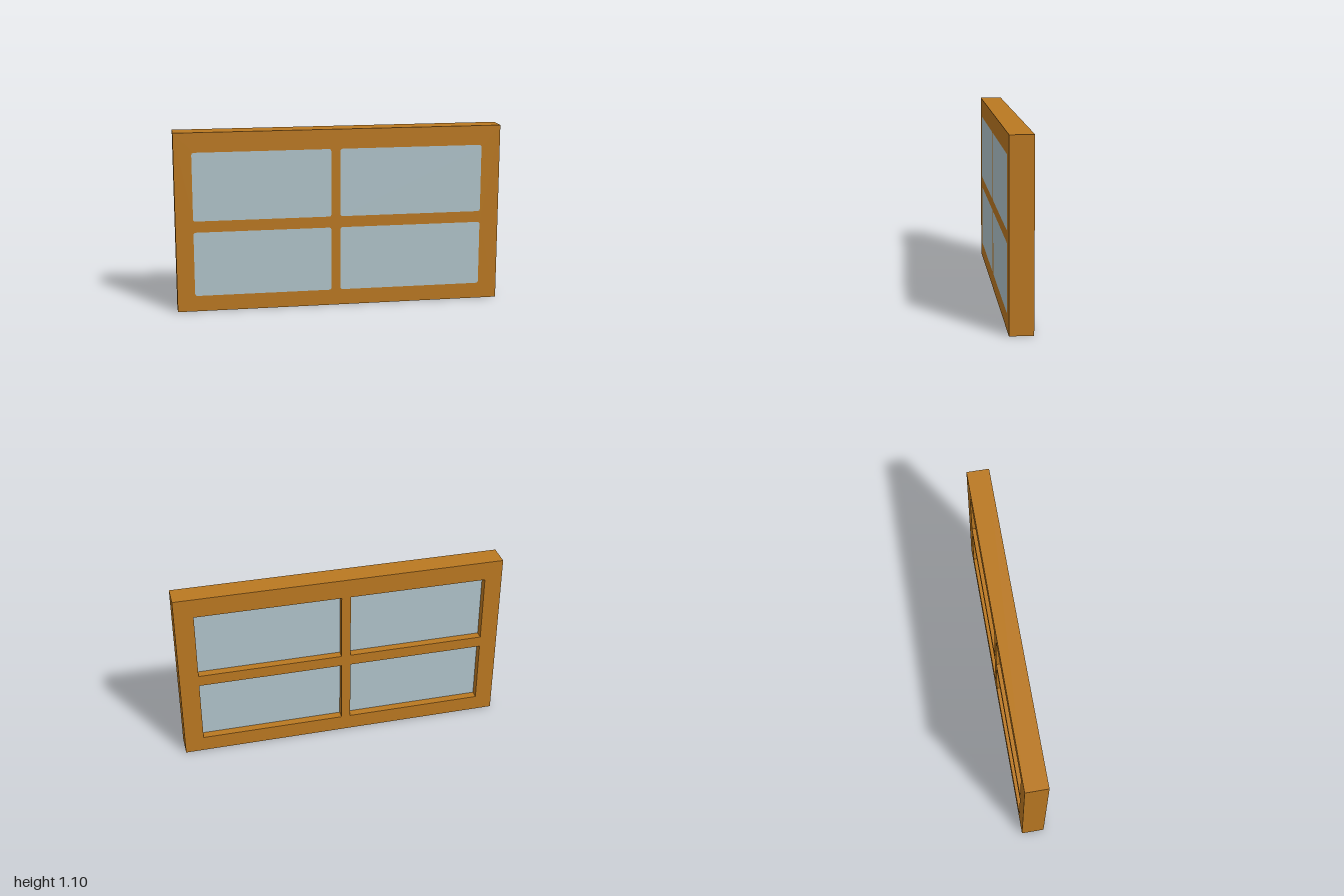
import * as THREE from 'three';

const HEIGHT = 1.1, BACK = -0.069, FRONT = 0.069;
const TRIM = 0.008;      // thickness of the front facing
const GLASS_BACK = -0.02; // rear glass sits in a recess

// pane openings: columns (x) and rows (y)
const COLUMNS = [[-0.893, -0.053], [0.003, 0.884]];
const ROWS = [[0.097, 0.493], [0.562, 0.98]];

// rectangle with optional rounded corners
function rect(target, x0, y0, x1, y1, r = 0) {
  if (r === 0) {
    target.moveTo(x0, y0).lineTo(x1, y0).lineTo(x1, y1).lineTo(x0, y1).closePath();
    return target;
  }
  target.moveTo(x0 + r, y0);
  target.lineTo(x1 - r, y0).quadraticCurveTo(x1, y0, x1, y0 + r);
  target.lineTo(x1, y1 - r).quadraticCurveTo(x1, y1, x1 - r, y1);
  target.lineTo(x0 + r, y1).quadraticCurveTo(x0, y1, x0, y1 - r);
  target.lineTo(x0, y0 + r).quadraticCurveTo(x0, y0, x0 + r, y0);
  return target;
}

function slab(name, shape, z0, z1, material) {
  const geometry = new THREE.ExtrudeGeometry(shape, { depth: z1 - z0, bevelEnabled: false, curveSegments: 4 });
  geometry.translate(0, 0, z0);
  const mesh = new THREE.Mesh(geometry, material);
  mesh.name = name;
  return mesh;
}

export function createModel() {
  const wood = new THREE.MeshStandardMaterial({ name: 'wood', color: 0xba7821 });
  const glass = new THREE.MeshStandardMaterial({ name: 'glass', color: 0xb0c3ca });
  const group = new THREE.Group();
  group.name = 'window';

  const frame = rect(new THREE.Shape(), -1, 0, 1, HEIGHT);
  const facing = rect(new THREE.Shape(), -1, 0, 1, HEIGHT);
  const radius = 0.016;

  for (const [x0, x1] of COLUMNS) {
    for (const [y0, y1] of ROWS) {
      frame.holes.push(rect(new THREE.Path(), x0, y0, x1, y1));
      facing.holes.push(rect(new THREE.Path(), x0, y0, x1, y1, radius));
      // square pane behind, round-cornered pane flush with the front
      group.add(slab('pane', rect(new THREE.Shape(), x0, y0, x1, y1), GLASS_BACK, FRONT - TRIM, glass));
      group.add(slab('frontPane', rect(new THREE.Shape(), x0, y0, x1, y1, radius), FRONT - TRIM, FRONT, glass));
    }
  }

  // frame with crossbars, and its thin front facing
  group.add(slab('frame', frame, BACK, FRONT - TRIM, wood));
  group.add(slab('frontFacing', facing, FRONT - TRIM, FRONT, wood));
  return group;
}
